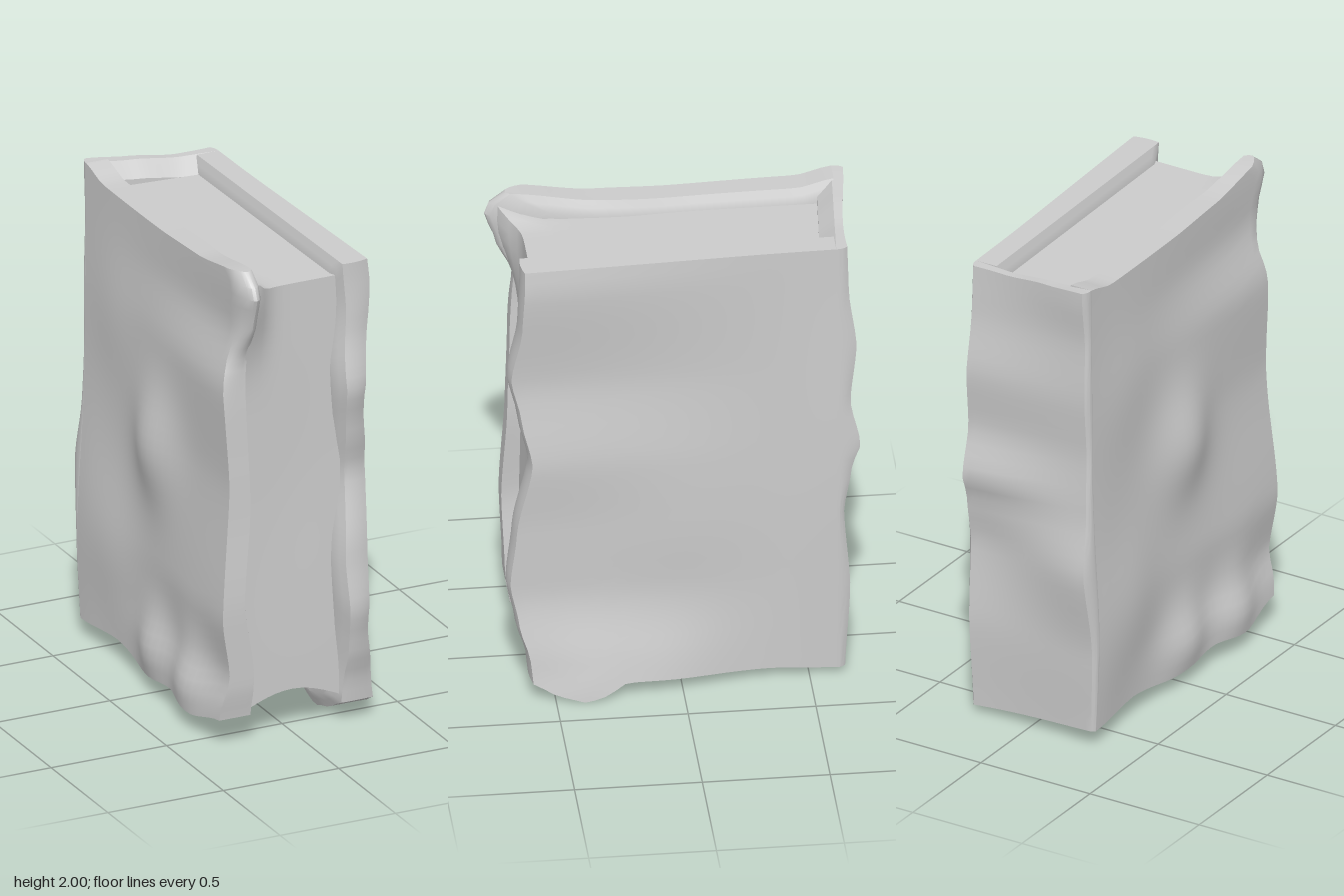
import * as THREE from 'three';
import { toCreasedNormals } from 'three/addons/utils/BufferGeometryUtils.js';

const lerp = THREE.MathUtils.lerp;
const material = new THREE.MeshStandardMaterial({ color: 0xcccccc });

// Eased interpolation through [position, value] knots
function curve(...k) {
  return (p) => {
    if (p <= k[0][0]) return k[0][1];
    for (let i = 1; i < k.length; i++) {
      if (p <= k[i][0]) {
        const t = (p - k[i - 1][0]) / (k[i][0] - k[i - 1][0]);
        return lerp(k[i - 1][1], k[i][1], lerp(t, t * t * (3 - 2 * t), 0.6));
      }
    }
    return k[k.length - 1][1];
  };
}

// Soft dent or bulge in two coordinates
const bump = (a, b, a0, b0, ra, rb, h) => h * Math.exp(-(((a - a0) / ra) ** 2) - ((b - b0) / rb) ** 2);

// Subdivided block whose unit coordinates (u, v, w) are mapped to a position
function block(name, segments, map) {
  const geo = new THREE.BoxGeometry(1, 1, 1, ...segments);
  const p = geo.attributes.position;
  for (let i = 0; i < p.count; i++) {
    p.setXYZ(i, ...map(p.getX(i) + 0.5, p.getY(i) + 0.5, p.getZ(i) + 0.5));
  }
  const mesh = new THREE.Mesh(toCreasedNormals(geo, 0.6), material);
  mesh.name = name;
  return mesh;
}

// Wavy outlines of the two covers
const left = {
  side: 1,
  back: -0.605,
  front: curve([0, 0.6], [0.1, 0.61], [0.25, 0.65], [0.45, 0.685], [0.7, 0.66], [1.05, 0.6], [1.25, 0.64], [1.45, 0.68], [1.7, 0.64], [1.95, 0.63]),
  round: () => 0.05,
  top: () => 1.95,
  bottom: curve([-0.64, 0.03], [-0.3, 0.05], [0.22, 0.07], [0.31, 0.02], [0.38, 0], [0.47, 0.025], [0.61, 0.09]),
  edge: curve([0, 0.05], [0.15, 0.03], [0.45, -0.015], [0.75, -0.01], [1.05, 0.01], [1.4, -0.03], [1.85, 0.015], [2, 0]),
  outer: (y, z) => 0.285 + 0.035 * z
    + bump(y, z, 0, 0.35, 0.25, 0.2, 0.03) + bump(y, z, 0.75, 0, 0.3, 0.3, 0.015)
    + bump(y, z, 0.05, 0.05, 0.22, 0.22, 0.035) + bump(y, z, 0.9, -0.62, 0.8, 0.2, 0.025),
  rim: (y, z) => 0.195 + 0.02 * z + curve([0, 0], [0.3, 0.01], [0.7, -0.01], [1.05, 0.015], [1.5, -0.015], [1.75, 0.005], [2, -0.01])(y),
};
const right = {
  side: -1,
  back: -0.645,
  front: curve([0, 0.62], [0.13, 0.64], [0.5, 0.65], [0.95, 0.63], [1.3, 0.62], [1.6, 0.61], [1.78, 0.68], [1.9, 0.72], [1.96, 0.7], [2, 0.64]),
  round: (y) => bump(y, 0, 1.9, 0, 0.25, 1, 0.35),
  top: curve([-0.645, 1.985], [-0.5, 1.95], [0, 1.945], [0.3, 1.955], [0.62, 2]),
  bottom: curve([-0.645, 0.07], [-0.35, 0.09], [-0.1, 0.06], [0.2, 0.09], [0.4, 0.07], [0.62, 0.12]),
  edge: curve([0, 0.05], [0.15, 0.045], [0.3, 0.01], [0.55, 0.045], [1.1, 0.005], [1.5, 0.025], [1.75, -0.03], [1.95, -0.02]),
  outer: (y, z) => 0.285 + bump(y, z, 1.05, 0, 0.22, 0.17, 0.07) + bump(y, z, 0.2, 0.34, 0.18, 0.13, 0.05)
    + bump(y, z, 0.2, 0, 0.15, 0.13, 0.05) + bump(y, z, 0.5, -0.4, 0.3, 0.2, 0.035)
    + bump(y, z, 1.45, -0.4, 0.25, 0.2, 0.015) + bump(y, z, 0.4, -0.65, 0.6, 0.2, 0.03),
  rim: (y, z) => 0.2 + bump(y, z, 1.95, 0.18, 0.3, 0.2, -0.012)
    + curve([0, 0], [0.3, -0.01], [0.6, 0.035], [1, 0], [1.5, 0.015], [1.8, -0.012], [2, -0.008])(y),
};

// Outer face follows the wavy front edge more strongly towards the front
const outerX = (c, y, z) => c.outer(y, z) + c.edge(y) * THREE.MathUtils.smoothstep(z, -0.5, 0.6);

// Cover board with a bevel running round its inner edges
function cover(name, c) {
  return block(name, [8, 40, 30], (u, v, w) => {
    const t = c.side > 0 ? 1 - u : u;
    const bevel = Math.max(0, (t - 0.75) * 4);
    const y0 = v * 2;
    const z = lerp(c.back, c.front(y0) - c.round(y0) * (t - 0.5) ** 2 - 0.06 * bevel, w);
    const y = lerp(c.bottom(z) + 0.06 * bevel, c.top(z) - 0.06 * bevel, v);
    const x = lerp(outerX(c, y, z), c.rim(y, z), Math.min(1, t / 0.75)) - 0.025 * bevel;
    return [c.side * x, y, z];
  });
}

// Back corners of the spine, left and right, with a shallow valley between
const backLeft = curve([0, 0.64], [0.4, 0.66], [0.75, 0.635], [0.95, 0.665], [1.05, 0.7], [1.25, 0.66], [1.5, 0.685], [1.75, 0.655], [1.95, 0.65]);
const backRight = curve([0, 0.66], [0.4, 0.675], [0.75, 0.72], [1, 0.68], [1.25, 0.665], [1.5, 0.68], [1.75, 0.67], [1.95, 0.69]);

function spine() {
  const topY = curve([0, 1.985], [0.35, 1.97], [0.7, 1.95], [1, 1.95]);
  return block('spine', [20, 40, 8], (u, v, w) => {
    const bevel = Math.max(0, (w - 0.75) * 4);
    const y = lerp(lerp(0.07, 0.03, u) + 0.06 * bevel, topY(u) - 0.06 * bevel, v);
    const inner = lerp(right.back, left.back, u);
    const inset = 0.03 * bevel + 0.015 * Math.max(0, 1 - w * 1.6) ** 2;
    const x = lerp(-outerX(right, y, right.back) + inset, outerX(left, y, left.back) - inset, u);
    const back = -lerp(backRight(y), backLeft(y), u * u * (3 - 2 * u)) + 0.01 * Math.sin(Math.PI * u);
    return [x, y, lerp(Math.min(back, inner - 0.01), inner, Math.min(1, w / 0.75)) + 0.06 * bevel];
  });
}

// Page block, sunk between the covers, with a sloping underside arched at the front
function pages() {
  return block('pages', [12, 30, 16], (u, v, w) => {
    const x = lerp(-0.21, 0.21, u);
    const base = lerp(0.09, 0.12 + 0.06 * Math.sin(Math.PI * u), w);
    const front = 0.585 + bump(x, v, -0.21, 0.97, 0.08, 0.12, 0.1) - bump(x, v, 0, 0.5, 0.2, 0.25, 0.01);
    const z = lerp(-0.6, front, w);
    const y = lerp(base, 1.89 + bump(x, z, -0.21, 0.68, 0.07, 0.12, 0.07), v);
    return [x, y, z];
  });
}

export function createModel() {
  const book = new THREE.Group();
  book.name = 'book';
  book.add(cover('leftCover', left), cover('rightCover', right), spine(), pages());
  return book;
}
